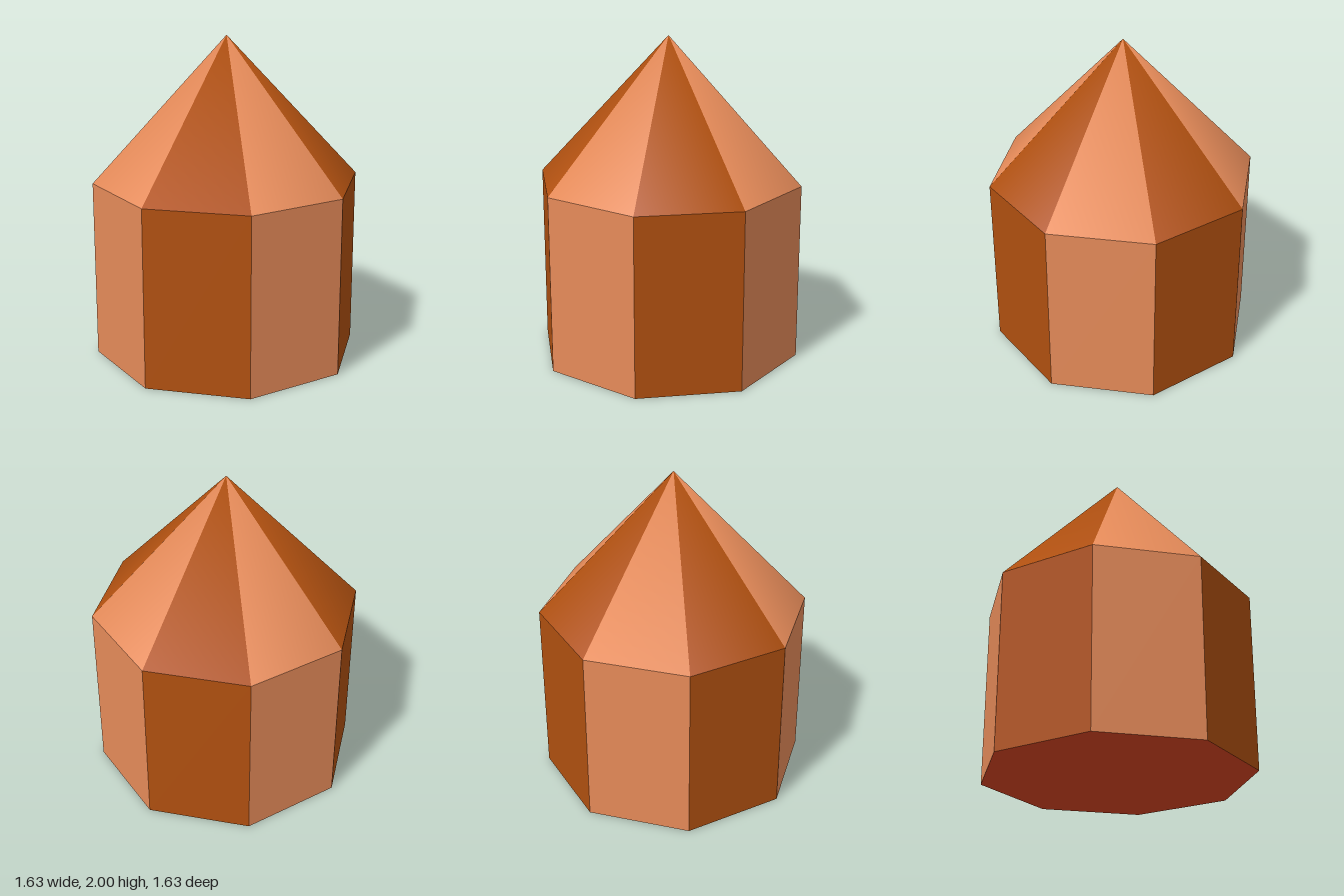
import * as THREE from 'three';

const SIDES = 8;
const RADIUS = 0.83;
const WALL = 1.11; // height of the prism
const TOP = 2; // height of the tip
const TURN = THREE.MathUtils.degToRad(10.9);

// Give every panel its own group, alternating between two materials
function stripe(geometry, cornersPerPanel) {
  geometry.clearGroups();
  for (let i = 0; i < SIDES; i++) {
    geometry.addGroup(i * cornersPerPanel, cornersPerPanel, i % 2);
  }
  return geometry;
}

export function createModel() {
  const group = new THREE.Group();

  const brown = new THREE.MeshStandardMaterial({ color: 0xb05010 });
  brown.name = 'brown';
  const peach = new THREE.MeshStandardMaterial({ color: 0xe68b59 });
  peach.name = 'peach';
  const red = new THREE.MeshStandardMaterial({ color: 0xdc4622 });
  red.name = 'red';
  const panels = [brown, peach];

  // Eight flat upright panels
  const wallGeometry = new THREE.CylinderGeometry(
    RADIUS, RADIUS, WALL, SIDES, 1, true, -TURN
  ).toNonIndexed();
  wallGeometry.computeVertexNormals();
  wallGeometry.translate(0, WALL / 2, 0);
  const walls = new THREE.Mesh(stripe(wallGeometry, 6), panels);
  walls.name = 'walls';
  group.add(walls);

  // Pointed roof: shared corners and tip give it smooth normals
  const points = [];
  const index = [];
  for (let i = 0; i < SIDES; i++) {
    const a = (i / SIDES) * Math.PI * 2 - TURN;
    points.push(new THREE.Vector3(RADIUS * Math.sin(a), WALL, RADIUS * Math.cos(a)));
    index.push(i, (i + 1) % SIDES, SIDES);
  }
  points.push(new THREE.Vector3(0, TOP, 0));
  const roofGeometry = new THREE.BufferGeometry().setFromPoints(points);
  roofGeometry.setIndex(index);
  roofGeometry.computeVertexNormals();
  const roof = new THREE.Mesh(stripe(roofGeometry, 3), panels);
  roof.name = 'pointedRoof';
  group.add(roof);

  // Flat underside, facing down
  const base = new THREE.Mesh(
    new THREE.CircleGeometry(RADIUS, SIDES, TURN).rotateX(Math.PI / 2),
    red
  );
  base.name = 'base';
  group.add(base);

  return group;
}
